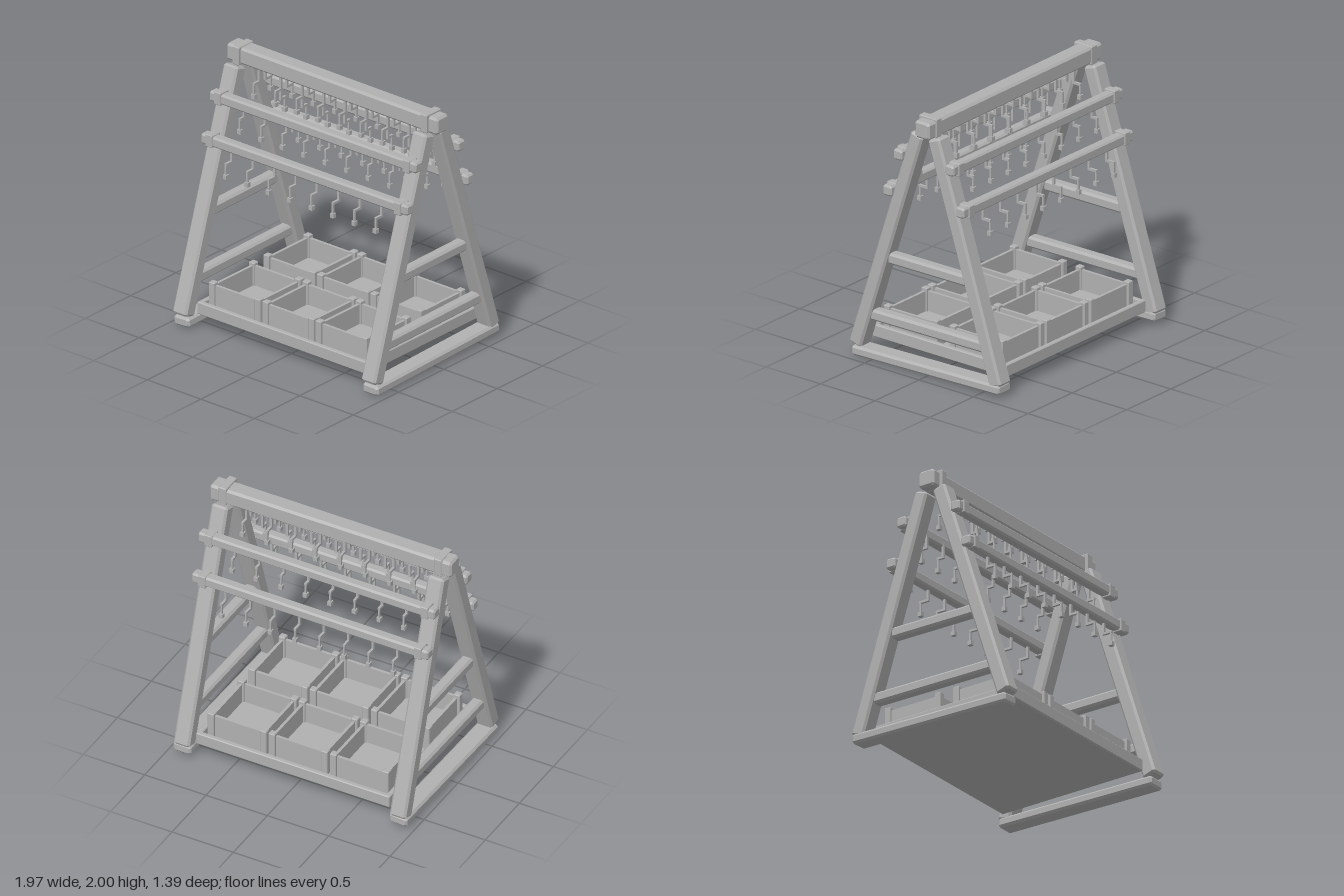
import * as THREE from 'three';

const wood = new THREE.MeshStandardMaterial({ color: 0xb0b0b0 });
wood.name = 'plain grey';

// Chamfered bar centred on the origin: w along x, h along y, len along z
function barGeometry(w, h, len, c) {
  const x = w / 2 - c, y = h / 2 - c, k = c * 0.5;
  const s = new THREE.Shape([
    [-x + k, -y], [x - k, -y], [x, -y + k], [x, y - k],
    [x - k, y], [-x + k, y], [-x, y - k], [-x, -y + k],
  ].map(([a, b]) => new THREE.Vector2(a, b)));
  const g = new THREE.ExtrudeGeometry(s, {
    depth: len - 2 * c, bevelEnabled: true, bevelThickness: c, bevelSize: c, bevelSegments: 1,
  });
  g.translate(0, 0, -(len / 2 - c));
  return g;
}

// Chamfered bar running from point a to point b
function beam(parent, name, a, b, w, h, c = 0.015) {
  const p = new THREE.Vector3(...a), q = new THREE.Vector3(...b);
  const m = new THREE.Mesh(barGeometry(w, h, p.distanceTo(q), c), wood);
  m.position.copy(p).add(q).multiplyScalar(0.5);
  m.lookAt(q);
  m.name = name;
  parent.add(m);
  return m;
}

// Plain box given by its minimum and maximum corners
function block(parent, name, [x0, y0, z0], [x1, y1, z1]) {
  const m = new THREE.Mesh(new THREE.BoxGeometry(x1 - x0, y1 - y0, z1 - z0), wood);
  m.position.set((x0 + x1) / 2, (y0 + y1) / 2, (z0 + z1) / 2);
  m.name = name;
  parent.add(m);
}

// Hanging hook: stem, arm, drop and end knob; reach is signed along z
function hook(parent, x, top, z, reach, stem) {
  const g = new THREE.Group();
  g.name = 'hook';
  const e = 0.009, d = 0.007, arm = -stem;
  block(g, 'hookStem', [-e, arm - e, -e], [e, 0.02, e]);
  block(g, 'hookArm', [-e, arm - e, Math.min(0, reach) - d], [e, arm + e, Math.max(0, reach) + d]);
  block(g, 'hookDrop', [-d, arm - 0.085, reach - d], [d, arm, reach + d]);
  block(g, 'hookKnob', [-0.016, arm - 0.112, reach - 0.016], [0.016, arm - 0.078, reach + 0.016]);
  g.position.set(x, top, z);
  parent.add(g);
}

// Open bin with four corner posts
function bin(parent, cx, cz) {
  const g = new THREE.Group();
  g.name = 'bin';
  const X = 0.222, Z = 0.228, t = 0.022, y0 = 0.15, y1 = 0.335;
  block(g, 'binFloor', [-X, y0, -Z], [X, y0 + 0.03, Z]);
  for (const s of [-1, 1]) {
    const xa = s * X, xb = s * (X - t), za = s * Z, zb = s * (Z - t);
    block(g, 'binSide', [Math.min(xa, xb), y0, -Z], [Math.max(xa, xb), y1, Z]);
    block(g, 'binEnd', [-X, y0, Math.min(za, zb)], [X, y1, Math.max(za, zb)]);
    for (const r of [-1, 1]) {
      beam(g, 'binPost', [s * 0.214, y0, r * 0.221], [s * 0.214, 0.357, r * 0.221], 0.052, 0.052, 0.005);
    }
  }
  g.position.set(cx, 0, cz);
  parent.add(g);
}

export function createModel() {
  const model = new THREE.Group();
  model.name = 'hookRack';

  // A-shaped end frames
  for (const s of [-1, 1]) {
    const f = new THREE.Group();
    f.name = s > 0 ? 'leftFrame' : 'rightFrame';
    const x = s > 0 ? 0.875 : -0.888;
    beam(f, 'frontLeg', [x, 0.09, 0.645], [x, 1.855, 0.073], 0.132, 0.112);
    beam(f, 'backLeg', [x, 0.09, -0.645], [x, 1.855, -0.077], 0.132, 0.112);
    const foot = beam(f, 'foot', [x, 0.042, 0.67], [x, 0.073, -0.685], 0.145, 0.075);
    if (s < 0) foot.rotateZ(-0.06);
    beam(f, 'upperCrossbar', [x, 0.82, 0.36], [x, 0.825, -0.36], 0.09, 0.085);
    beam(f, 'lowerCrossbar', [x, 0.345, 0.52], [x, 0.355, -0.52], 0.09, 0.085);
    model.add(f);
  }

  // Ridge beam and its collars
  beam(model, 'ridgeBeam', [-0.985, 1.927, -0.01], [0.985, 1.92, -0.01], 0.135, 0.13);
  for (const x of [-0.88, 0.875]) {
    beam(model, 'ridgeCollar', [x - 0.032, 1.928, -0.003], [x + 0.032, 1.928, -0.003], 0.165, 0.144, 0.006);
  }

  // Hook rails with collars: [height, z]
  for (const [y, z] of [[1.66, 0.23], [1.66, -0.245], [1.36, 0.325], [1.36, -0.34]]) {
    beam(model, 'hookRail', [-0.965, y - 0.003, z], [0.965, y + 0.004, z], 0.08, 0.08, 0.012);
    for (const x of [-0.883, 0.877]) {
      beam(model, 'railCollar', [x - 0.031, y, z], [x + 0.031, y, z], 0.096, 0.098, 0.005);
    }
  }

  // Six rows of eight hooks: [top, stem z, reach, stem length]
  const rows = [
    [1.862, 0.025, 0.06, 0.1], [1.862, -0.04, -0.06, 0.1],
    [1.625, 0.195, 0.045, 0.085], [1.625, -0.21, -0.045, 0.085],
    [1.325, 0.33, 0.065, 0.085], [1.325, -0.345, -0.065, 0.085],
  ];
  for (const [top, z, reach, stem] of rows) {
    for (let i = 0; i < 8; i++) hook(model, -0.7 + i * 0.2, top, z, reach, stem);
  }

  // Base tray with raised rim
  block(model, 'trayFloor', [-0.775, 0.115, -0.615], [0.775, 0.15, 0.595]);
  for (const z of [-0.612, 0.592]) {
    beam(model, 'trayRim', [-0.79, 0.163, z], [0.788, 0.163, z], 0.038, 0.095, 0.006);
  }
  for (const x of [-0.771, 0.769]) {
    beam(model, 'trayRim', [x, 0.163, -0.625], [x, 0.163, 0.605], 0.038, 0.095, 0.006);
  }

  // Two rows of three bins
  for (const x of [-0.5, 0, 0.497]) {
    for (const z of [-0.308, 0.295]) bin(model, x, z);
  }
  return model;
}
